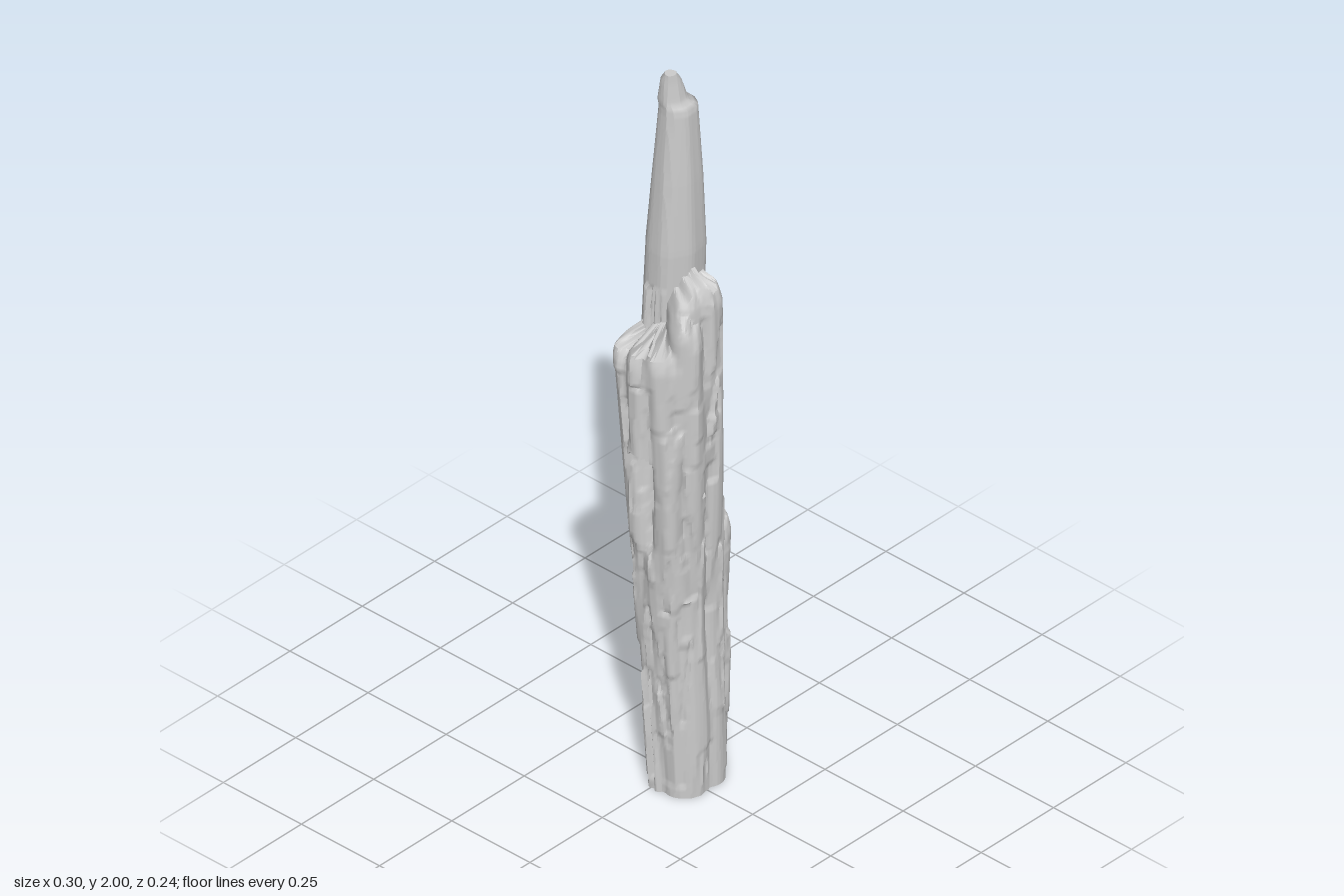
import * as THREE from 'three';
import { toCreasedNormals } from 'three/addons/utils/BufferGeometryUtils.js';

const ROWS = 220, SEGS = 144, TAU = Math.PI * 2;
const { lerp, clamp } = THREE.MathUtils;

// Heartwood that runs up into the spire: y, x, z, radius.
const heart = [
  [0, .02, .01, .052], [.6, .03, -.022, .06], [.95, .03, -.03, .059], [1.1, .034, -.039, .07],
  [1.25, .035, -.043, .073], [1.5, .033, -.031, .071], [1.7, .032, -.024, .06], [1.9, .03, -.018, .046],
  [1.92, .019, -.025, .036], [1.975, .011, -.023, .025], [2, .003, -.016, .014]
];

// Broken strands around it: lower y, upper y, lower x and z, upper x and z, radius.
const strands = [
  [0, 1.26, -.035, .015, -.08, -.068, .045],  // back left
  [.97, 1.28, -.11, 0, -.109, 0, .04],        // left slab
  [0, .73, -.045, .055, -.082, .035, .033],   // left
  [0, 1.29, -.04, .06, -.103, .05, .036],     // front left
  [0, 1.35, -.02, .07, -.045, .077, .043],    // front
  [0, 1.43, .04, .065, .03, .065, .045],      // front right
  [.7, 1.41, -.01, .055, -.015, .05, .044],   // front middle
  [0, .93, .07, .03, .075, .02, .04],         // right
  [0, .76, .087, 0, .124, -.022, .029],       // right edge
  [0, .7, .08, .045, .106, .045, .034],       // right front
  [0, .85, .07, 0, .09, -.015, .034]          // right inner
];

function heartAt(y) {
  const i = Math.max(1, heart.findIndex(p => p[0] >= y));
  const a = heart[i - 1], b = heart[i];
  const t = (y - a[0]) / (b[0] - a[0]);
  return [1, 2, 3].map(k => lerp(a[k], b[k], t));
}

// Strands are straight, apart from a shallow hollow low on the front.
function strandAt([y0, y1, x0, z0, x1, z1], y) {
  const t = clamp((y - y0) / (y1 - y0), 0, 1);
  const z = lerp(z0, z1, t);
  return [lerp(x0, x1, t), z - .2 * Math.max(z, 0) * Math.exp(-(((y - .5) / .25) ** 2))];
}

function seeded(seed) {
  return () => (seed = (seed * 16807) % 2147483647) / 2147483647;
}

// Thin raised slivers and grooves on the bark-like front and left.
const rand = seeded(417);
const slivers = Array.from({ length: 90 }, (_, i) => {
  const y0 = rand() * 1.3 - .1;
  return {
    angle: (rand() - .62) * 3, y0, y1: y0 + .12 + rand() * .4, width: .07 + rand() * .1,
    height: (i % 2 ? 1 : -1) * (.003 + rand() * .005), slant: (rand() - .5) * .4
  };
});

// Farthest strand wall from the heart along one direction.
function wall(y, angle, [ax, az, ar], centres) {
  const ux = Math.sin(angle), uz = Math.cos(angle);
  let r = ar * (1 + .035 * Math.sin(3 * angle - 1) + .025 * Math.sin(7 * angle + y * 2));
  strands.forEach((strand, i) => {
    // Ragged ends, rounded over at the top
    const rag = .015 * Math.sin(angle * 9 + i * 2) + .008 * Math.sin(angle * 23 + i);
    const below = strand[1] + rag - y;
    if (below < 0 || (strand[0] > 0 && y < strand[0] + rag)) return;
    const radius = strand[6] * Math.min(1, .55 + .45 * Math.sqrt(below / .045));
    const dx = centres[i][0] - ax, dz = centres[i][1] - az, along = dx * ux + dz * uz;
    const q = radius * radius - dx * dx - dz * dz + along * along;
    if (q > 0) r = Math.max(r, along + Math.sqrt(q));
  });
  return r;
}

// Slivers narrow to a point at the top.
function bark(y, angle) {
  const turn = angle > Math.PI ? angle - TAU : angle;
  let h = 0;
  if (y < 1.4) for (const s of slivers) {
    if (y < s.y0 || y > s.y1) continue;
    const t = (y - s.y0) / (s.y1 - s.y0);
    const d = (turn - s.angle - s.slant * (t - .5)) / (s.width * Math.sqrt(1 - t * .9));
    if (Math.abs(d) < 1) h += s.height * Math.sqrt(1 - d * d);
  }
  return clamp(h, -.01, .008);
}

function ring(y) {
  const axis = heartAt(y), centres = strands.map(s => strandAt(s, y));
  const walls = Array.from({ length: SEGS }, (_, j) => wall(y, j / SEGS * TAU, axis, centres));
  return walls.map((_, j) => {
    // Soften the grooves between strands, more so on the worn back
    const angle = j / SEGS * TAU, reach = Math.cos(angle) < -.2 ? 4 : 1;
    let r = 0;
    for (let k = -reach; k <= reach; k++) r += walls[(j + k + SEGS) % SEGS] / (2 * reach + 1);
    r += bark(y, angle);
    return [axis[0] + Math.sin(angle) * r, y, axis[1] + Math.cos(angle) * r];
  });
}

function makeGeometry(points, index) {
  const g = new THREE.BufferGeometry();
  g.setAttribute('position', new THREE.Float32BufferAttribute(points.flat(), 3));
  g.setIndex(index);
  return g;
}

export function createModel() {
  const group = new THREE.Group();
  group.name = 'splinteredWood';
  const material = new THREE.MeshStandardMaterial({ color: 0xcccccc });

  // Long splintered body, closed at the tip
  const points = [], index = [];
  for (let i = 0; i <= ROWS; i++) points.push(...ring(2 * i / ROWS));
  for (let i = 0; i < ROWS; i++) for (let j = 0; j < SEGS; j++) {
    const a = i * SEGS + j, b = i * SEGS + (j + 1) % SEGS;
    index.push(a, b, b + SEGS, a, b + SEGS, a + SEGS);
  }
  const [tipX, tipZ] = heartAt(2);
  const tip = points.push([tipX, 2, tipZ]) - 1;
  for (let j = 0; j < SEGS; j++) index.push(ROWS * SEGS + j, ROWS * SEGS + (j + 1) % SEGS, tip);
  const body = new THREE.Mesh(toCreasedNormals(makeGeometry(points, index), .8), material);
  body.name = 'splinteredBody';

  // Flat broken-off foot
  const foot = ring(0), fan = [];
  const [footX, footZ] = heartAt(0);
  const centre = foot.push([footX, 0, footZ]) - 1;
  for (let j = 0; j < SEGS; j++) fan.push((j + 1) % SEGS, j, centre);
  const footGeometry = makeGeometry(foot, fan);
  footGeometry.computeVertexNormals();
  const base = new THREE.Mesh(footGeometry, material);
  base.name = 'brokenBase';

  group.add(body, base);
  return group;
}
